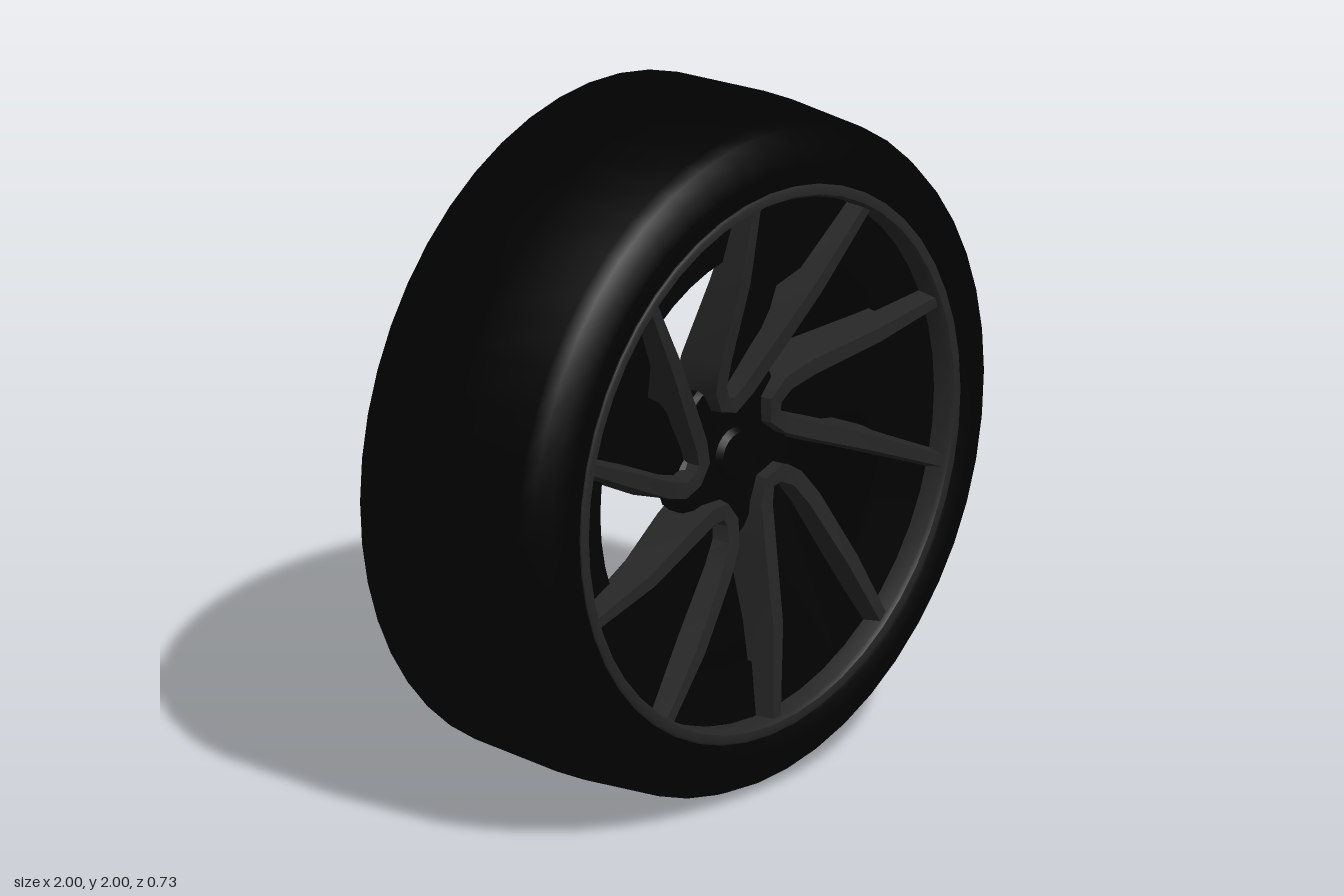
import * as THREE from 'three';
import { toCreasedNormals } from 'three/addons/utils/BufferGeometryUtils.js';

const material = (name, color) => {
  const m = new THREE.MeshStandardMaterial({ color });
  m.name = name;
  return m;
};

// Revolve [radius, z] points around the wheel axis
function revolve(points, crease = 0.8) {
  const g = new THREE.LatheGeometry(points.map(([r, z]) => new THREE.Vector2(r, z)), 48);
  g.rotateX(Math.PI / 2);
  return toCreasedNormals(g, crease);
}

// Sweep a tapered four-sided bar along [x, y, z, half width, depth] stations
function sweepBar(stations) {
  const pos = [], index = [];
  const n = stations.length;
  stations.forEach(([x, y, z, w, d], i) => {
    const p = stations[Math.max(i - 1, 0)], q = stations[Math.min(i + 1, n - 1)];
    const len = Math.hypot(q[0] - p[0], q[1] - p[1]);
    const nx = -(q[1] - p[1]) / len, ny = (q[0] - p[0]) / len;
    for (const [s, dz] of [[0.7, 0], [-0.7, 0], [-1.25, -d], [1.25, -d]]) {
      pos.push(x + nx * w * s, y + ny * w * s, z + dz);
    }
  });
  for (let i = 0; i < n - 1; i++) {
    for (let k = 0; k < 4; k++) {
      const a = i * 4 + k, b = i * 4 + (k + 1) % 4;
      index.push(a, b, b + 4, a, b + 4, a + 4);
    }
  }
  const e = (n - 1) * 4;
  index.push(0, 2, 1, 0, 3, 2, e, e + 1, e + 2, e, e + 2, e + 3);
  const g = new THREE.BufferGeometry();
  g.setAttribute('position', new THREE.Float32BufferAttribute(pos, 3));
  g.setIndex(index);
  return toCreasedNormals(g, 0.5);
}

export function createModel() {
  const rubber = material('tyre rubber', 0x010101);
  const alloy = material('dark grey alloy', 0x252525);
  const black = material('black inner rim', 0x020202);

  const model = new THREE.Group();
  model.name = 'wheel';
  const wheel = new THREE.Group();
  wheel.name = 'wheelAssembly';
  wheel.position.y = 1;
  model.add(wheel);

  const add = (name, geometry, mat, parent = wheel) => {
    const mesh = new THREE.Mesh(geometry, mat);
    mesh.name = name;
    parent.add(mesh);
    return mesh;
  };

  // Tyre: chamfered back shoulder, rounded front shoulder, hollow inside
  add('tyre', revolve([
    [0.81, -0.35], [0.83, -0.362], [0.9, -0.355], [0.98, -0.315], [1, 0], [0.983, 0.27],
    [0.965, 0.31], [0.925, 0.343], [0.87, 0.358], [0.82, 0.362], [0.8, 0.345],
    [0.805, 0.3], [0.82, 0], [0.82, -0.25], [0.81, -0.35],
  ], 1.2), rubber);

  // Rim lip holding the spokes
  add('rimLip', revolve([
    [0.808, 0.28], [0.81, 0.358], [0.803, 0.364], [0.78, 0.362], [0.772, 0.35],
    [0.77, 0.28], [0.808, 0.28],
  ]), alloy);

  // Flat inner ring set just behind the lip
  add('innerRing', revolve([
    [0.62, 0.24], [0.78, 0.27], [0.78, 0.295], [0.62, 0.265], [0.62, 0.24],
  ]), black);

  // Five-lobed hub
  const lobes = [];
  for (let i = 0; i < 50; i++) {
    const a = (i / 50) * Math.PI * 2;
    const r = 0.21 + 0.04 * Math.cos(5 * (a + Math.PI / 2));
    lobes.push(new THREE.Vector2(r * Math.cos(a), r * Math.sin(a)));
  }
  const hub = new THREE.ExtrudeGeometry(new THREE.Shape(lobes), {
    depth: 0.04, bevelEnabled: true, bevelSize: 0.012, bevelThickness: 0.015, bevelSegments: 1,
  });
  hub.translate(0, 0, 0.165);
  add('hub', toCreasedNormals(hub, 0.5), black);
  const core = new THREE.CylinderGeometry(0.16, 0.12, 0.06, 20).rotateX(Math.PI / 2);
  add('hubCore', core, black).position.z = 0.13;
  const cap = new THREE.CylinderGeometry(0.065, 0.08, 0.02, 20).rotateX(Math.PI / 2);
  add('hubCap', cap, black).position.z = 0.228;

  // V-shaped spoke pair, curled round its inner tip
  const vSpoke = sweepBar([
    [-0.045, 0.785, 0.35, 0.022, 0.06],
    [-0.075, 0.55, 0.33, 0.03, 0.1],
    [-0.105, 0.32, 0.285, 0.034, 0.13],
    [-0.105, 0.23, 0.267, 0.034, 0.14],
    [-0.075, 0.175, 0.255, 0.034, 0.14],
    [-0.03, 0.16, 0.253, 0.034, 0.14],
    [0.02, 0.195, 0.26, 0.034, 0.14],
    [0.09, 0.275, 0.28, 0.034, 0.13],
    [0.24, 0.45, 0.325, 0.03, 0.1],
    [0.43, 0.655, 0.35, 0.022, 0.06],
  ]);

  // Recessed web filling each V out to the rim, with an opening beside one arm
  const webShape = new THREE.Shape([
    [-0.1, 0.2], [0, 0.17], [0.06, 0.25], [0.135, 0.4], [0.15, 0.468], [0.325, 0.525],
    [0.43, 0.645], [0.28, 0.722], [0.12, 0.765], [-0.045, 0.772],
  ].map(([x, y]) => new THREE.Vector2(x, y)));
  const web = new THREE.ExtrudeGeometry(webShape, { depth: 0.03, bevelEnabled: false });
  // The web rises toward the front as it nears the rim
  const p = web.attributes.position;
  for (let i = 0; i < p.count; i++) {
    p.setZ(i, p.getZ(i) + 0.14 + 0.16 * Math.hypot(p.getX(i), p.getY(i)));
  }
  web.computeVertexNormals();
  const bolt = new THREE.CylinderGeometry(0.02, 0.02, 0.03, 6).rotateX(Math.PI / 2);

  for (let i = 0; i < 5; i++) {
    const sector = new THREE.Group();
    sector.name = 'spokeSector' + (i + 1);
    sector.rotation.z = (i * Math.PI * 2) / 5;
    wheel.add(sector);
    add('spokePair', vSpoke, alloy, sector);
    add('spokeWeb', web, black, sector);
    add('wheelBolt', bolt, black, sector).position.set(0.075, 0.103, 0.215);
  }
  return model;
}
